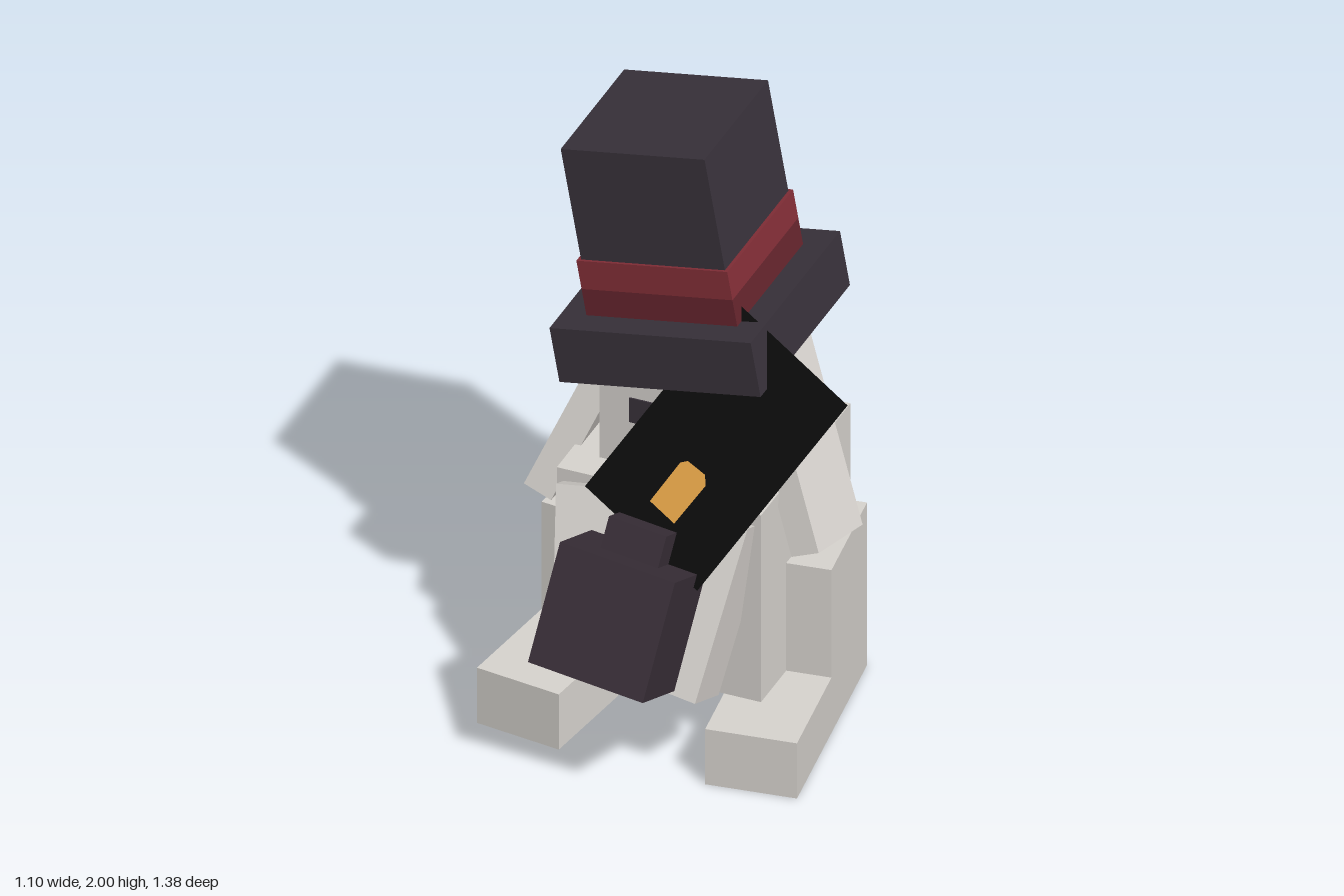
import * as THREE from 'three';

const deg = THREE.MathUtils.degToRad;
const AXIS = -0.0375; // x of the body's mirror plane

const mat = (name, color, side = THREE.FrontSide) => {
  const m = new THREE.MeshStandardMaterial({ color, side });
  m.name = name;
  return m;
};

export function createModel() {
  const fur = mat('pale fur', 0xd9d5d0);
  const felt = mat('dark felt', 0x39323b);
  const iron = mat('lantern iron', 0x392f38);
  const red = mat('band red', 0x852f38);
  const darkRed = mat('band shade red', 0x67252e);
  const black = mat('black panel', 0x0b0b0b, THREE.DoubleSide);
  const gold = mat('flame gold', 0xe6a549, THREE.DoubleSide);

  const model = new THREE.Group();
  const box = (name, size, pos, material, parent = model) => {
    const m = new THREE.Mesh(new THREE.BoxGeometry(...size), material);
    m.name = name;
    m.position.set(...pos);
    parent.add(m);
    return m;
  };
  const group = (name, pos, rx = 0, rz = 0) => {
    const g = new THREE.Group();
    g.name = name;
    g.position.set(...pos);
    g.rotation.set(deg(rx), 0, deg(rz));
    model.add(g);
    return g;
  };

  // Body, head and tail
  box('body', [0.66, 0.66, 0.665], [AXIS, 0.525, -0.1325], fur);
  box('head', [0.47, 0.47, 0.47], [AXIS, 1.09, -0.135], fur);
  box('tail', [0.28, 0.28, 0.28], [AXIS, 0.419, -0.511], fur).rotation.x = deg(-22.5);

  // Paired parts, s = -1 is the model's right side
  for (const s of [-1, 1]) {
    const side = s < 0 ? 'right' : 'left';

    // Splayed leg: long foot with the haunch on its back half
    const leg = group(side + 'Leg', [AXIS + s * 0.3275, 0, 0.0075]);
    leg.rotation.y = deg(s * 7.5);
    box(side + 'Foot', [0.283, 0.195, 0.755], [0, 0.0975, 0], fur, leg);
    box(side + 'Haunch', [0.283, 0.38, 0.383], [0, 0.385, -0.186], fur, leg);

    // Arm reaching forward and down
    const arm = box(side + 'Arm', [0.19, 0.56, 0.19], [AXIS + s * 0.1765, 0.553, 0.266], fur);
    arm.rotation.set(deg(-22.5), 0, deg(-s * 8));

    // Drooping ear, hung from under the hat
    const ear = box(side + 'Ear', [0.095, 0.75, 0.28], [AXIS + s * 0.304, 0.997, -0.11], fur);
    ear.rotation.set(deg(-12.5), 0, deg(s * 22.5), 'ZXY');

    // Eye plate
    box(side + 'Eye', [0.09, 0.085, 0.008], [AXIS + s * 0.0925, 1.05, 0.101], felt);
  }

  // Top hat, tilted to the right; origin at the top of the brim
  const hat = group('hat', [-0.066, 1.398, -0.1325], 0, 10);
  box('hatBrim', [0.66, 0.185, 0.665], [0, -0.0925, 0], felt, hat);
  box('hatCrown', [0.472, 0.566, 0.472], [0, 0.283, 0], felt, hat);
  box('hatBandLower', [0.495, 0.09, 0.49], [0, 0.045, 0], darkRed, hat);
  box('hatBandUpper', [0.495, 0.097, 0.49], [0, 0.1385, 0], red, hat);

  // Lantern held between the arms
  const lantern = group('lantern', [-0.045, 0.561, 0.435], -22.5, -6.2);
  box('lanternCase', [0.38, 0.38, 0.38], [0, 0, 0], iron, lantern);
  box('lanternCap', [0.19, 0.1, 0.19], [0, 0.24, 0], iron, lantern);

  // Flat black panel with a flame on each face
  const panel = group('flamePanel', [0.161, 1.085, 0.23], -22.5, -30);
  const sheet = new THREE.Mesh(new THREE.PlaneGeometry(0.463, 0.755), black);
  sheet.name = 'panelSheet';
  panel.add(sheet);
  const outline = [[-0.05, -0.27], [0.05, -0.27], [0.052, -0.115], [0.03, -0.09], [-0.037, -0.095], [-0.052, -0.115]];
  const flameShape = new THREE.Shape(outline.map(([x, y]) => new THREE.Vector2(x, y)));
  for (const s of [-1, 1]) {
    const flame = new THREE.Mesh(new THREE.ShapeGeometry(flameShape), gold);
    flame.name = s > 0 ? 'flameFront' : 'flameBack';
    flame.position.z = s * 0.004;
    panel.add(flame);
  }

  return model;
}
